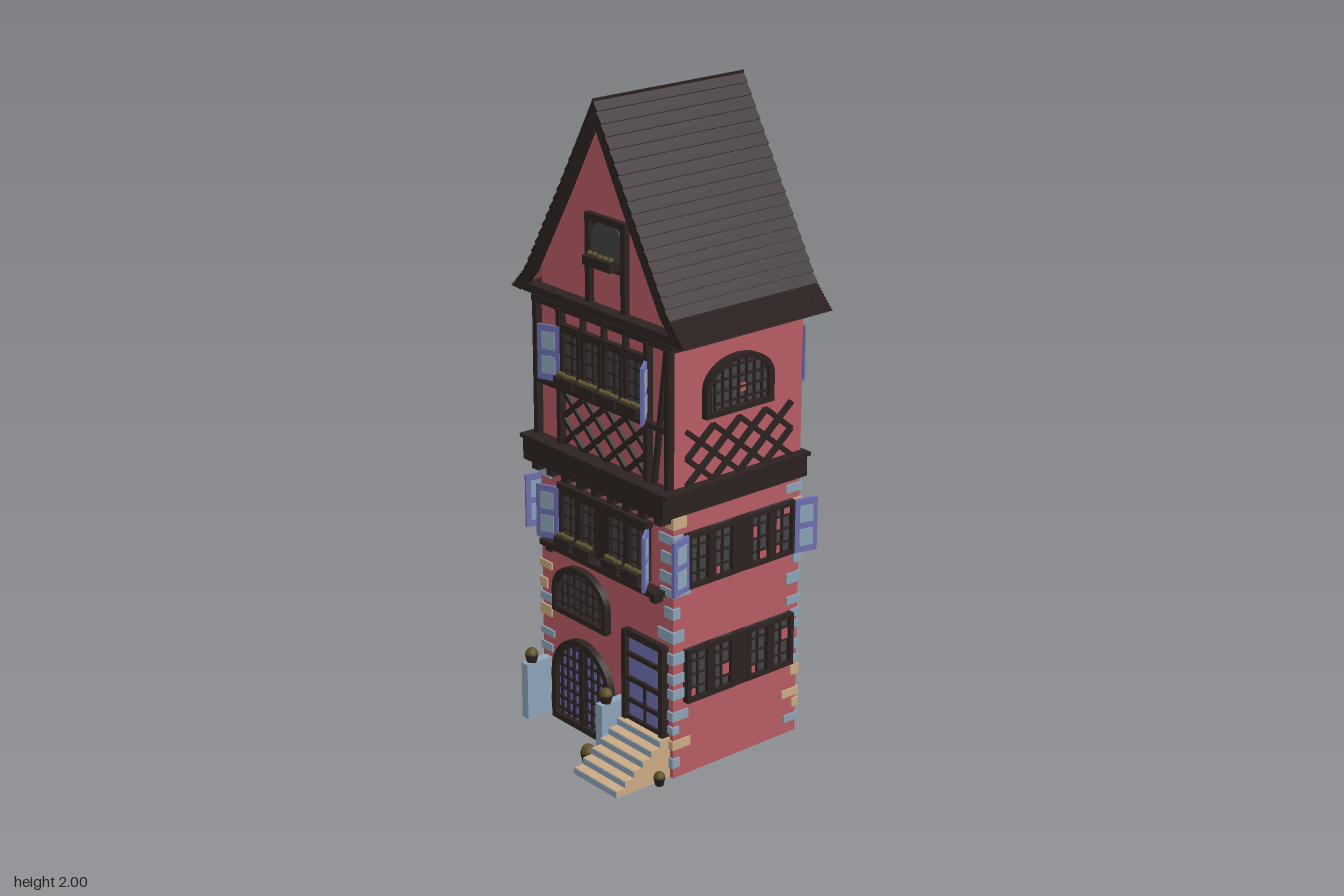
import * as THREE from 'three';

const mat = (name, color) => Object.assign(new THREE.MeshStandardMaterial({ color }), { name });

export function createModel() {
  const M = {
    plaster: mat('pink plaster', 0xb85c64), wood: mat('dark timber', 0x2c2221),
    blue: mat('blue paint', 0x6e70b2), stone: mat('grey stone', 0x8ea4b9),
    tan: mat('tan stone', 0xcbaa83), glass: mat('dark glass', 0x434343),
    plant: mat('olive plants', 0x5c5029), roof: mat('roof tiles', 0x2a1f1e),
  };
  const root = new THREE.Group();
  root.name = 'townHouse';
  let seed = 7;
  const rnd = () => (seed = (seed * 16807) % 2147483647) / 2147483647;

  // Helpers: every part is named and added to a parent group
  const add = (p, name, geo, m, x = 0, y = 0, z = 0) => {
    const o = new THREE.Mesh(geo, m);
    o.name = name;
    o.position.set(x, y, z);
    p.add(o);
    return o;
  };
  const box = (p, name, m, w, h, d, x, y, z) => add(p, name, new THREE.BoxGeometry(w, h, d), m, x, y, z);
  const group = (p, name, x = 0, y = 0, z = 0, ry = 0) => {
    const g = new THREE.Group();
    g.name = name;
    g.position.set(x, y, z);
    g.rotation.y = ry;
    p.add(g);
    return g;
  };
  const poly = (pts) => new THREE.Shape(pts.map(([x, y]) => new THREE.Vector2(x, y)));
  const extrude = (s, depth) => new THREE.ExtrudeGeometry(s, { depth, bevelEnabled: false, curveSegments: 12 });
  const beam = (p, x1, y1, x2, y2, w = 0.014, d = 0.014) => {
    const b = box(p, 'timberBrace', M.wood, Math.hypot(x2 - x1, y2 - y1), w, d, (x1 + x2) / 2, (y1 + y2) / 2, d / 2);
    b.rotation.z = Math.atan2(y2 - y1, x2 - x1);
  };

  // Window with glass and glazing bars, base at y; pink lists blank panes as [column, row]
  const casement = (p, x, y, w = 0.092, h = 0.17, pink = []) => {
    const g = group(p, 'window', x, y), f = 0.014;
    box(g, 'pane', M.glass, w, h, 0.006, 0, h / 2, 0.004);
    for (const s of [-1, 1]) {
      box(g, 'frameSide', M.wood, f, h, 0.022, s * (w - f) / 2, h / 2, 0.011);
      box(g, 'frameRail', M.wood, w, f, 0.022, 0, h / 2 + s * (h - f) / 2, 0.011);
    }
    box(g, 'glazingBar', M.wood, 0.006, h, 0.014, 0, h / 2, 0.007);
    for (const k of [1, 2, 3]) box(g, 'glazingBar', M.wood, w, 0.005, 0.014, 0, (h * k) / 4, 0.007);
    for (const [c, r] of pink) box(g, 'blankPane', M.plaster, w / 2 - 0.014, h / 4 - 0.006, 0.004, (c - 0.5) * w / 2, (r + 0.5) * h / 4, 0.008);
  };

  // Arched opening with frame and grid
  const archShape = (w, h, spring, Kind = THREE.Shape, inset = 0) => {
    const s = new Kind(), a = w / 2 - inset;
    s.moveTo(-a, inset);
    s.lineTo(a, inset);
    s.lineTo(a, spring);
    s.absellipse(0, spring, a, h - spring - inset, 0, Math.PI, false);
    s.lineTo(-a, inset);
    return s;
  };
  const arched = (p, name, x, y, w, h, spring, fill, cols, rows, bar = 0.006, f = 0.018) => {
    const g = group(p, name, x, y);
    const frame = archShape(w, h, spring);
    frame.holes.push(archShape(w, h, spring, THREE.Path, f));
    add(g, 'archFrame', extrude(frame, 0.022), M.wood);
    add(g, 'archPanel', extrude(archShape(w, h, spring, THREE.Shape, 0.004), 0.006), fill);
    const a = w / 2 - f / 2, b = h - spring - f / 2;
    for (let i = 1; i < cols; i++) {
      const u = -a + (2 * a * i) / cols, top = spring + b * Math.sqrt(1 - (u / a) ** 2);
      box(g, 'verticalBar', M.wood, bar, top, 0.014, u, top / 2, 0.007);
    }
    for (let i = 1; i < rows; i++) {
      const v = (h * i) / rows, half = v < spring ? a : a * Math.sqrt(Math.max(0, 1 - ((v - spring) / b) ** 2));
      box(g, 'horizontalBar', M.wood, 2 * half, bar, 0.014, 0, v, 0.007);
    }
    return g;
  };

  // Planter with small bushes
  const planter = (p, x, y, w = 0.088) => {
    const g = group(p, 'planter', x, y);
    box(g, 'planterBox', M.wood, w, 0.028, 0.034, 0, 0, 0.033);
    for (let i = -2; i <= 2; i++)
      add(g, 'bush', new THREE.IcosahedronGeometry(0.009, 0), M.plant, i * w * 0.19, 0.017 + rnd() * 0.004, 0.034);
  };

  // Shutter hinged at x, opening to side s at an angle from the wall
  const shutter = (p, x, y, s, angle, w = 0.075, h = 0.17) => {
    const g = group(p, 'shutter', x, y, 0.018, -s * angle);
    box(g, 'shutterBoard', M.blue, w, h, 0.01, (s * w) / 2, h / 2, 0);
    for (const v of [0.28, 0.72])
      box(g, 'shutterPanel', M.stone, w * 0.6, h * 0.32, 0.014, (s * w) / 2, h * v, 0);
  };

  // Lattice of crossed braces
  const lattice = (p, x, w) => {
    const q = w / 4;
    for (let i = 0; i < 3; i++) {
      const c = x - w / 2 + q * (i + 1);
      beam(p, c - q, 0.92, c + q, 1.085);
      beam(p, c - q, 1.085, c + q, 0.92, 0.014, 0.012);
    }
    for (const s of [-1, 1]) {
      beam(p, x + s * q, 0.92, x + s * 2 * q, 1.0025);
      beam(p, x + s * q, 1.085, x + s * 2 * q, 1.0025);
    }
  };

  // Walls and storey bands
  box(root, 'walls', M.plaster, 0.616, 1.37, 0.49, 0, 0.685, -0.065);
  box(root, 'storeyBand', M.wood, 0.65, 0.075, 0.555, 0.003, 0.879, -0.042);
  box(root, 'storeyBandCap', M.wood, 0.675, 0.012, 0.56, 0.003, 0.914, -0.042);
  box(root, 'eavesBand', M.wood, 0.64, 0.02, 0.525, 0, 1.342, -0.065);
  box(root, 'eavesBandCap', M.wood, 0.69, 0.025, 0.545, 0, 1.372, -0.065);

  // Gable block
  const gable = poly([[-0.308, 1.36], [0.308, 1.36], [0.308, 1.425], [0, 1.96], [-0.308, 1.425]]);
  add(root, 'gable', extrude(gable, 0.475), M.plaster, 0, 0, -0.31);

  // Roof slopes: stepped tile rows over a plaster soffit, barge boards in front
  const curve = [[0.395, 1.365], [0.33, 1.433], [0.17, 1.703], [0, 1.998]];
  const at = (t) => {
    const k = Math.min(2, Math.floor(t * 3)), f = t * 3 - k, a = curve[k], b = curve[k + 1];
    return [a[0] + (b[0] - a[0]) * f, a[1] + (b[1] - a[1]) * f];
  };
  for (const s of [-1, 1]) {
    const rows = 27, top = [];
    for (let i = 0; i < rows; i++) {
      const [x0, y0] = at(i / rows), [x1, y1] = at((i + 1) / rows);
      top.push([s * x0, y0], [s * (x1 - 0.005), y1 - 0.003]);
    }
    top.push([0, 1.998]);
    const band = (d) => curve.map(([x, y]) => [s * Math.max(0, x - d), y - (x === 0 ? d * 1.7 : 0.1 * d)]);
    const slab = (a, b) => poly([...a, ...[...b].reverse()]);
    add(root, 'roofTiles', extrude(slab(top, band(0.014)), 0.56), M.roof, 0, 0, -0.345);
    add(root, 'roofSoffit', extrude(slab(band(0.013), band(0.02)), 0.545), M.plaster, 0, 0, -0.343);
    add(root, 'bargeBoard', extrude(slab(band(0.008), band(0.044)), 0.02), M.wood, 0, 0, 0.193);
  }

  // Front wall
  const front = group(root, 'frontWall', 0, 0, 0.18);
  arched(front, 'archedDoor', -0.1, 0, 0.285, 0.3, 0.155, M.blue, 9, 8, 0.007, 0.02);
  box(front, 'doorMeetingStile', M.wood, 0.016, 0.285, 0.018, -0.1, 0.143, 0.009);
  arched(front, 'archedWindow', -0.107, 0.365, 0.258, 0.172, 0.075, M.glass, 8, 5);
  box(front, 'entranceDoor', M.blue, 0.18, 0.29, 0.008, 0.193, 0.275, 0.004);
  for (const x of [0.108, 0.278]) box(front, 'doorPost', M.wood, 0.018, 0.29, 0.024, x, 0.275, 0.012);
  for (const [y, h] of [[0.412, 0.022], [0.345, 0.014], [0.265, 0.014], [0.195, 0.012], [0.137, 0.012]])
    box(front, 'doorRail', M.wood, 0.18, h, 0.018, 0.193, y, 0.009);
  box(front, 'doorStile', M.wood, 0.008, 0.15, 0.014, 0.193, 0.2, 0.007);
  for (const x of [-0.15, -0.06, 0.075, 0.165]) {
    casement(front, x, 0.605);
    planter(front, x, 0.617, 0.075);
  }
  box(front, 'middlePost', M.wood, 0.05, 0.175, 0.02, 0.007, 0.692, 0.01);
  box(front, 'windowHead', M.wood, 0.42, 0.018, 0.024, 0.007, 0.784, 0.012);
  box(front, 'windowShelf', M.wood, 0.54, 0.018, 0.045, 0.007, 0.588, 0.022);
  for (const x of [-0.24, 0.25]) box(front, 'shelfBracket', M.wood, 0.025, 0.025, 0.03, x, 0.57, 0.015);
  shutter(front, -0.2, 0.605, -1, 0.4);
  shutter(front, 0.212, 0.605, 1, 0.85);
  for (let i = 0; i < 4; i++) {
    casement(front, -0.135 + 0.097 * i, 1.115);
    planter(front, -0.135 + 0.097 * i, 1.128);
  }
  shutter(front, -0.182, 1.115, -1, 0.4);
  shutter(front, 0.207, 1.115, 1, 0.85);
  for (const x of [-0.301, -0.19, 0.208, 0.301]) box(front, 'timberPost', M.wood, 0.018, 0.42, 0.022, x, 1.13, 0.011);
  for (let i = 0; i < 5; i++) box(front, 'windowPost', M.wood, 0.01, 0.06, 0.018, -0.183 + 0.097 * i, 1.31, 0.009);
  box(front, 'timberRail', M.wood, 0.6, 0.016, 0.02, 0, 1.094, 0.01);
  box(front, 'timberRail', M.wood, 0.4, 0.012, 0.02, 0.01, 1.288, 0.01);
  beam(front, 0.232, 0.92, 0.285, 1.33);
  lattice(front, 0.01, 0.39);
  for (let i = 0; i < 9; i++) box(front, 'corbel', M.wood, 0.03, 0.04, 0.045, -0.28 + 0.071 * i, 0.836, 0.022);

  // Attic window in the front gable
  const attic = group(root, 'atticFront', 0.007, 0, 0.165);
  for (const x of [-0.08, 0.08]) box(attic, 'atticPost', M.wood, 0.02, 0.27, 0.018, x, 1.515, 0.009);
  for (const y of [1.642, 1.508]) box(attic, 'atticRail', M.wood, 0.18, 0.02, 0.018, 0, y, 0.009);
  box(attic, 'atticPanel', M.wood, 0.15, 0.13, 0.008, 0, 1.575, 0.004);
  add(attic, 'atticPane', extrude(archShape(0.136, 0.115, 0.07), 0.004), M.glass, 0, 1.522, 0.008);
  planter(attic, 0, 1.522, 0.125);

  // Back wall
  const back = group(root, 'backWall', 0, 0, -0.31, Math.PI);
  for (let i = 0; i < 4; i++) {
    const x = -0.142 + 0.098 * i;
    casement(back, x, 1.115);
    planter(back, x, 1.128);
    casement(back, x, 0.24);
    planter(back, x, 0.252);
  }
  for (const x of [-0.045, 0.053]) {
    casement(back, x, 0.595);
    planter(back, x, 0.612);
  }
  shutter(back, -0.2, 1.115, -1, 0.4);
  shutter(back, 0.205, 1.115, 1, 0.85);
  box(back, 'windowShelf', M.wood, 0.5, 0.018, 0.045, 0, 0.215, 0.022);
  for (const x of [-0.23, 0.23]) box(back, 'shelfBracket', M.wood, 0.03, 0.025, 0.035, x, 0.195, 0.017);
  lattice(back, 0, 0.4);

  // Side walls, mirrored; m flips the direction along the wall
  for (const m of [1, -1]) {
    const side = group(root, m > 0 ? 'rightViewWall' : 'leftViewWall', m * 0.308, 0, 0, (m * Math.PI) / 2);
    arched(side, 'archedWindow', m * 0.053, 1.11, 0.258, 0.172, 0.085, M.glass, 8, 5);
    box(side, 'blankPane', M.plaster, 0.02, 0.025, 0.004, m * 0.07, 1.175, 0.01);
    lattice(side, m * 0.063, 0.4);
    [-0.095, -0.003, 0.14, 0.232].forEach((u, i) => {
      casement(side, m * u, 0.605, 0.092, 0.17, [[], [[0, 0]], [[0, 2], [1, 0]], [[0, 2], [1, 3], [0, 0]]][i]);
      casement(side, m * u, 0.24, 0.092, 0.17, [[[0, 0]], [[1, 1]], [[0, 0]], [[1, 2]]][i]);
    });
    for (const y of [0.69, 0.325]) box(side, 'middlePost', M.wood, 0.055, 0.17, 0.02, m * 0.068, y, 0.01);
    shutter(side, m * -0.14, 0.605, -m, 0.25);
    shutter(side, m * 0.275, 0.605, m, 0.25);
  }

  // Corner stones wrapping the lower storeys
  for (const sx of [-1, 1]) for (const cz of [0.18, -0.31]) {
    const sz = cz > 0 ? 1 : -1;
    for (let y = 0.05; y < 0.83; y += 0.036 + rnd() * 0.04) {
      const w = 0.025 + rnd() * 0.045, d = 0.025 + rnd() * 0.045;
      box(root, 'cornerStone', rnd() < 0.25 ? M.tan : M.stone, w, 0.022 + rnd() * 0.014, d,
        sx * (0.314 - w / 2), y, cz + sz * (0.006 - d / 2));
    }
  }

  // Entrance steps
  const steps = group(root, 'entranceSteps', 0.197, 0, 0);
  for (let i = 0; i < 6; i++) {
    const zf = 0.383 - i * 0.033, h = (0.13 * (i + 1)) / 6;
    box(steps, 'step', M.tan, 0.197, h, zf - 0.18, 0, h / 2, (zf + 0.18) / 2);
    box(steps, 'riser', M.stone, 0.197, 0.019, 0.003, 0, h - 0.011, zf + 0.001);
  }

  // Stone posts and potted plants
  const pot = (x, y, z, r) => {
    const g = group(root, 'pottedPlant', x, y, z);
    add(g, 'pot', new THREE.CylinderGeometry(r, r * 0.7, r * 1.4, 12), M.wood, 0, r * 0.7, 0);
    add(g, 'plant', new THREE.IcosahedronGeometry(r * 0.95, 1), M.plant, 0, r * 1.5, 0);
  };
  for (const x of [-0.283, 0.08]) {
    box(root, 'stonePost', M.stone, 0.03, 0.185, 0.095, x, 0.0925, 0.228);
    pot(x, 0.18, 0.247, 0.021);
  }
  pot(0.07, 0, 0.308, 0.025);
  pot(0.312, 0, 0.235, 0.018);
  return root;
}
